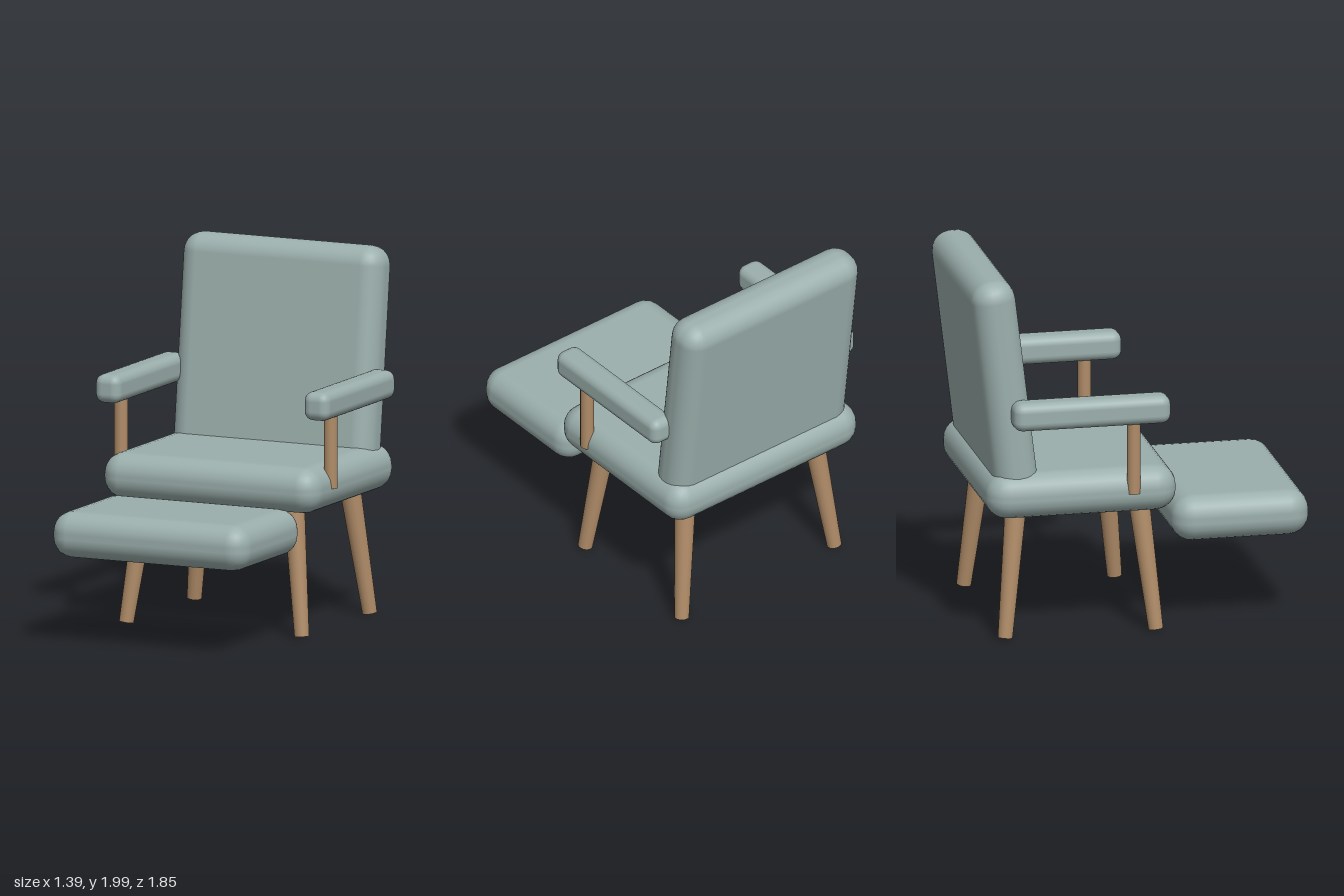
import * as THREE from 'three';
import { RoundedBoxGeometry } from 'three/addons/geometries/RoundedBoxGeometry.js';

export function createModel() {
  const model = new THREE.Group();
  model.name = 'armchairWithFootrest';

  const fabric = new THREE.MeshStandardMaterial({ color: 0x9bafac });
  fabric.name = 'sage fabric';
  const wood = new THREE.MeshStandardMaterial({ color: 0xb08c68 });
  wood.name = 'wood';

  // Rounded upholstered block, centred at (x, y, z)
  function cushion(name, [w, h, d], radius, [x, y, z], tilt = 0) {
    const mesh = new THREE.Mesh(new RoundedBoxGeometry(w, h, d, 3, radius), fabric);
    mesh.name = name;
    mesh.position.set(x, y, z);
    mesh.rotation.x = tilt;
    model.add(mesh);
  }

  // Round wooden rod from a bottom point to a top point
  function rod(name, bottom, top, rBottom, rTop) {
    const a = new THREE.Vector3(...bottom);
    const b = new THREE.Vector3(...top);
    const axis = b.clone().sub(a);
    const mesh = new THREE.Mesh(new THREE.CylinderGeometry(rTop, rBottom, axis.length(), 20), wood);
    mesh.name = name;
    mesh.position.copy(a).add(b).multiplyScalar(0.5);
    mesh.quaternion.setFromUnitVectors(new THREE.Vector3(0, 1, 0), axis.normalize());
    model.add(mesh);
  }

  // Cushions
  cushion('seat', [1.29, 0.25, 1.04], 0.115, [0, 0.803, -0.33]);
  cushion('footrest', [1.17, 0.25, 0.75], 0.11, [0, 0.603, 0.553]);
  cushion('backrest', [1.195, 1.2, 0.242], 0.108, [0, 1.395, -0.741], -0.12);

  for (const [side, s] of [['left', 1], ['right', -1]]) {
    // Padded arm on a wooden post
    cushion(side + 'Armrest', [0.15, 0.155, 0.86], 0.05, [s * 0.622, 1.267, -0.293]);
    rod(side + 'ArmPost', [s * 0.625, 0.8, -0.058], [s * 0.625, 1.22, -0.058], 0.037, 0.037);
    // Splayed tapering legs
    rod(side + 'FrontLeg', [s * 0.523, 0.006, 0.085], [s * 0.438, 0.72, 0.008], 0.04, 0.058);
    rod(side + 'BackLeg', [s * 0.523, 0.006, -0.74], [s * 0.438, 0.72, -0.664], 0.04, 0.058);
  }

  return model;
}
